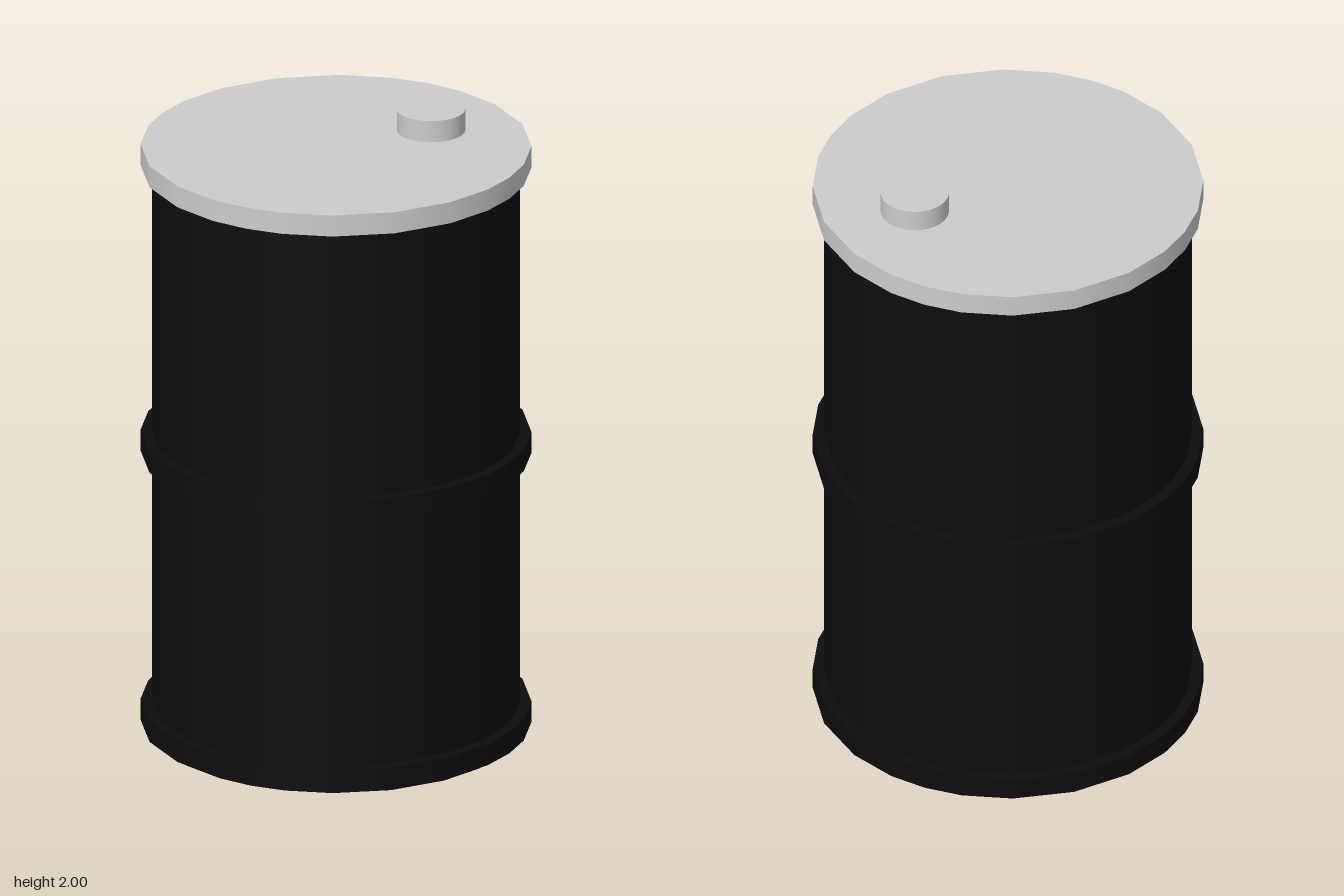
import * as THREE from 'three';

// Angles (degrees) of the unevenly spaced corners in each quarter turn
const STEPS = [0, 18.4, 33.6, 45, 56.4, 71.6];
const SIDES = STEPS.length * 4;

// Turn an evenly spaced corner direction into its uneven one
function remap(attribute, i) {
  const x = attribute.getX(i), z = attribute.getZ(i);
  const r = Math.hypot(x, z);
  if (r < 1e-6) return;
  const k = (Math.round(Math.atan2(z, x) / (2 * Math.PI) * SIDES) + SIDES) % SIDES;
  const a = THREE.MathUtils.degToRad(Math.floor(k / STEPS.length) * 90 + STEPS[k % STEPS.length]);
  attribute.setX(i, r * Math.cos(a));
  attribute.setZ(i, r * Math.sin(a));
}

// Closed drum section between two heights
function drum(name, radius, y0, y1, material) {
  const geometry = new THREE.CylinderGeometry(radius, radius, y1 - y0, SIDES);
  const { position, normal } = geometry.attributes;
  for (let i = 0; i < position.count; i++) {
    remap(position, i);
    remap(normal, i);
  }
  const mesh = new THREE.Mesh(geometry, material);
  mesh.name = name;
  mesh.position.y = (y0 + y1) / 2;
  return mesh;
}

export function createModel() {
  const black = new THREE.MeshStandardMaterial({ name: 'black paint', color: 0x0d0d0d });
  const grey = new THREE.MeshStandardMaterial({ name: 'light grey metal', color: 0xcccccc });

  const barrel = new THREE.Group();
  barrel.name = 'barrel';

  // Body with its two raised hoops
  barrel.add(drum('body', 0.57, 0, 1.88, black));
  barrel.add(drum('bottomHoop', 0.605, 0.02, 0.09, black));
  barrel.add(drum('middleHoop', 0.605, 0.913, 0.983, black));

  // Lid
  barrel.add(drum('lid', 0.605, 1.86, 1.93, grey));

  // Round filler cap, off centre on the lid
  const cap = new THREE.Mesh(new THREE.CylinderGeometry(0.106, 0.106, 0.08, 40), grey);
  cap.name = 'fillerCap';
  cap.position.set(0.32, 1.96, -0.037);
  barrel.add(cap);

  return barrel;
}
